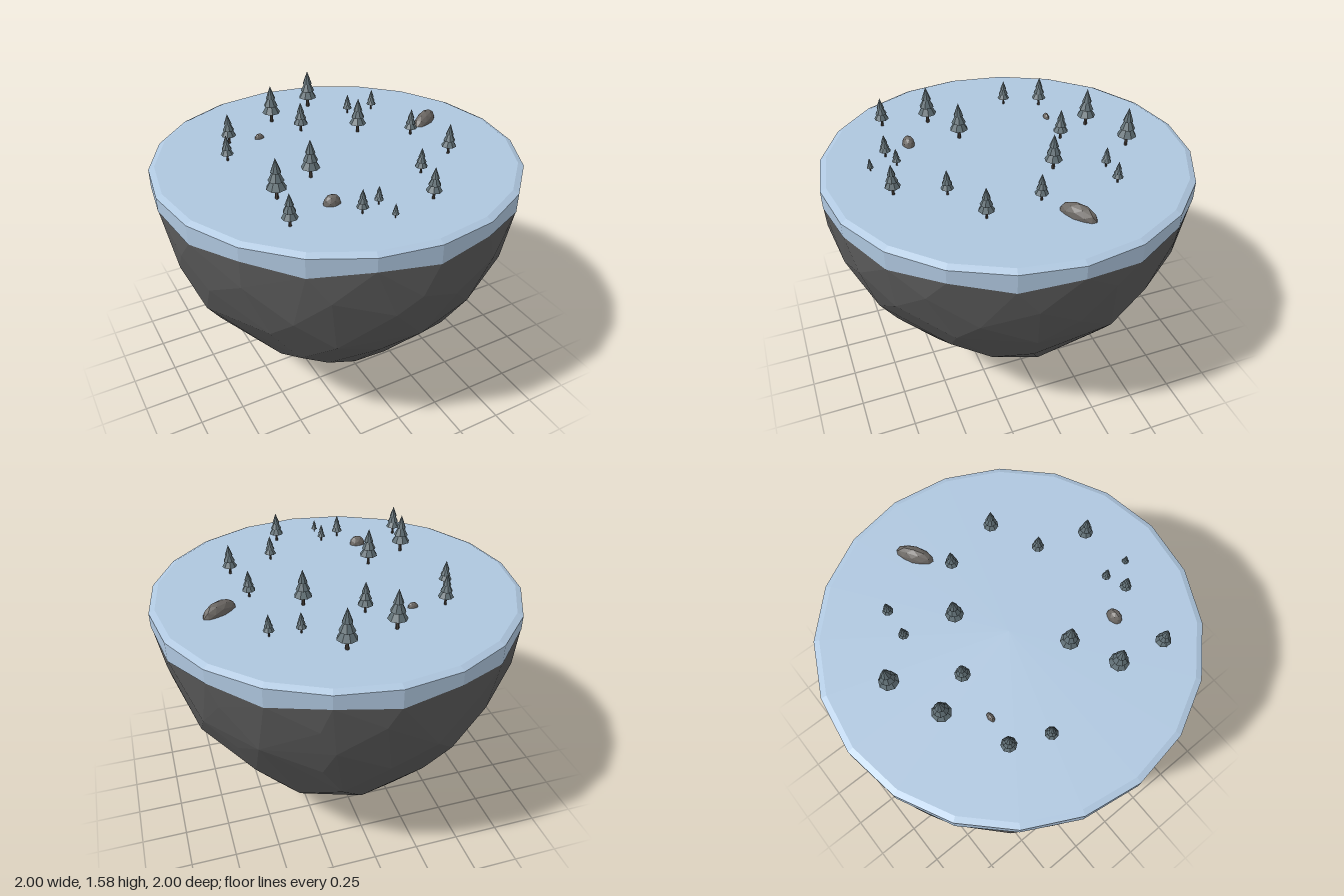
import * as THREE from 'three';
import { ConvexGeometry } from 'three/addons/geometries/ConvexGeometry.js';

const GROUND = 1.355;
const mat = (color) => new THREE.MeshStandardMaterial({ color, flatShading: true, side: THREE.DoubleSide });

// small seeded generator for the facet irregularities
function seeded(seed) {
  return () => {
    seed = (seed * 16807) % 2147483647;
    return seed / 2147483647;
  };
}

function mesh(name, geometry, material) {
  const m = new THREE.Mesh(geometry, material);
  m.name = name;
  return m;
}

// faceted underside: staggered rings whose radius differs on each side
function createUnderside() {
  const rnd = seeded(77);
  // height, count, radius towards +z, +x, -z, -x
  const rings = [
    [1.1, 14, 0.985, 0.965, 0.97, 0.975],
    [0.95, 14, 0.96, 0.92, 0.945, 0.945],
    [0.78, 14, 0.89, 0.86, 0.88, 0.90],
    [0.6, 12, 0.77, 0.755, 0.79, 0.805],
    [0.43, 12, 0.615, 0.63, 0.65, 0.68],
    [0.28, 10, 0.45, 0.50, 0.50, 0.54],
    [0.12, 7, 0.26, 0.335, 0.325, 0.33],
  ];
  const points = [new THREE.Vector3(0.015, 0, 0)];
  for (let i = 0; i < 20; i++) {
    const a = (i * Math.PI) / 10;
    points.push(new THREE.Vector3(Math.sin(a) * 0.998, i % 2 ? 1.265 : 1.238, Math.cos(a) * 0.998));
  }
  rings.forEach(([y, count, ...radii], row) => {
    for (let i = 0; i < count; i++) {
      const q = ((i + (row % 2) * 0.5 + (rnd() - 0.5) * 0.35) / count) * 4 + 4;
      const k = Math.floor(q);
      const r = THREE.MathUtils.lerp(radii[k % 4], radii[(k + 1) % 4], q - k) * 1.008;
      const a = (q * Math.PI) / 2;
      points.push(new THREE.Vector3(Math.sin(a) * r, y + (rnd() - 0.5) * 0.07, Math.cos(a) * r));
    }
  });
  return mesh('rockUnderside', new ConvexGeometry(points), mat(0x5a5a5a));
}

// ground cap with bevelled top edge and zigzag lower edge
function createCap() {
  const profile = [[1, 1.25], [1, 1.34], [0.968, GROUND], [0, GROUND]].map((p) => new THREE.Vector2(...p));
  const geometry = new THREE.LatheGeometry(profile, 20);
  const pos = geometry.attributes.position;
  for (let i = 0; i <= 20; i++) pos.setY(i * profile.length, i % 2 ? 1.265 : 1.236);
  return mesh('groundCap', geometry, mat(0xaec6de));
}

// tree of unit height: trunk and three overlapping tiers
function createTree(trunkMat, leafMat) {
  const tree = new THREE.Group();
  tree.name = 'tree';
  const trunk = mesh('trunk', new THREE.CylinderGeometry(0.035, 0.045, 0.4, 6), trunkMat);
  trunk.position.y = 0.2;
  tree.add(trunk);
  // base height, top height, radius
  [[0.27, 0.66, 0.24], [0.46, 0.83, 0.185], [0.66, 1, 0.125]].forEach(([y0, y1, r], i) => {
    const tier = mesh('foliageTier', new THREE.ConeGeometry(r, y1 - y0, 8), leafMat);
    tier.position.y = (y0 + y1) / 2;
    tier.rotation.y = i * 0.4;
    tree.add(tier);
  });
  return tree;
}

export function createModel() {
  const model = new THREE.Group();
  model.name = 'floatingIsland';
  model.add(createUnderside(), createCap());

  // trees: x, z, height
  const trees = [
    [0.145, -0.64, 0.222], [-0.145, -0.535, 0.218], [-0.47, -0.38, 0.172], [-0.05, -0.335, 0.172],
    [-0.555, -0.185, 0.145], [0.23, -0.17, 0.2], [0.31, -0.435, 0.115], [0.467, -0.42, 0.12],
    [0.478, 0, 0.15], [0.525, 0.3, 0.17], [0.27, 0.415, 0.14], [-0.25, 0.19, 0.21],
    [-0.49, 0.305, 0.218], [-0.54, 0.56, 0.17], [-0.195, 0.62, 0.13], [-0.085, 0.585, 0.1],
    [-0.08, 0.725, 0.075], [0.175, 0.665, 0.17],
  ];
  const prototype = createTree(mat(0x4a423c), mat(0x5f6e74));
  trees.forEach(([x, z, h], i) => {
    const tree = prototype.clone();
    tree.position.set(x, GROUND, z);
    tree.scale.setScalar(h);
    tree.rotation.y = i * 1.3;
    model.add(tree);
  });

  // half-buried boulders: x, z, half length, height, half width, turn
  const boulderMat = mat(0x6b6763);
  const boulders = [
    [0.655, -0.115, 0.105, 0.06, 0.045, 0.56],
    [-0.278, 0.473, 0.046, 0.05, 0.034, 0],
    [-0.3, -0.357, 0.028, 0.028, 0.016, 0],
  ];
  for (const [x, z, sx, sy, sz, turn] of boulders) {
    const boulder = mesh('boulder', new THREE.IcosahedronGeometry(1, 1), boulderMat);
    boulder.position.set(x, GROUND, z);
    boulder.scale.set(sx, sy, sz);
    boulder.rotation.y = turn;
    model.add(boulder);
  }
  return model;
}
